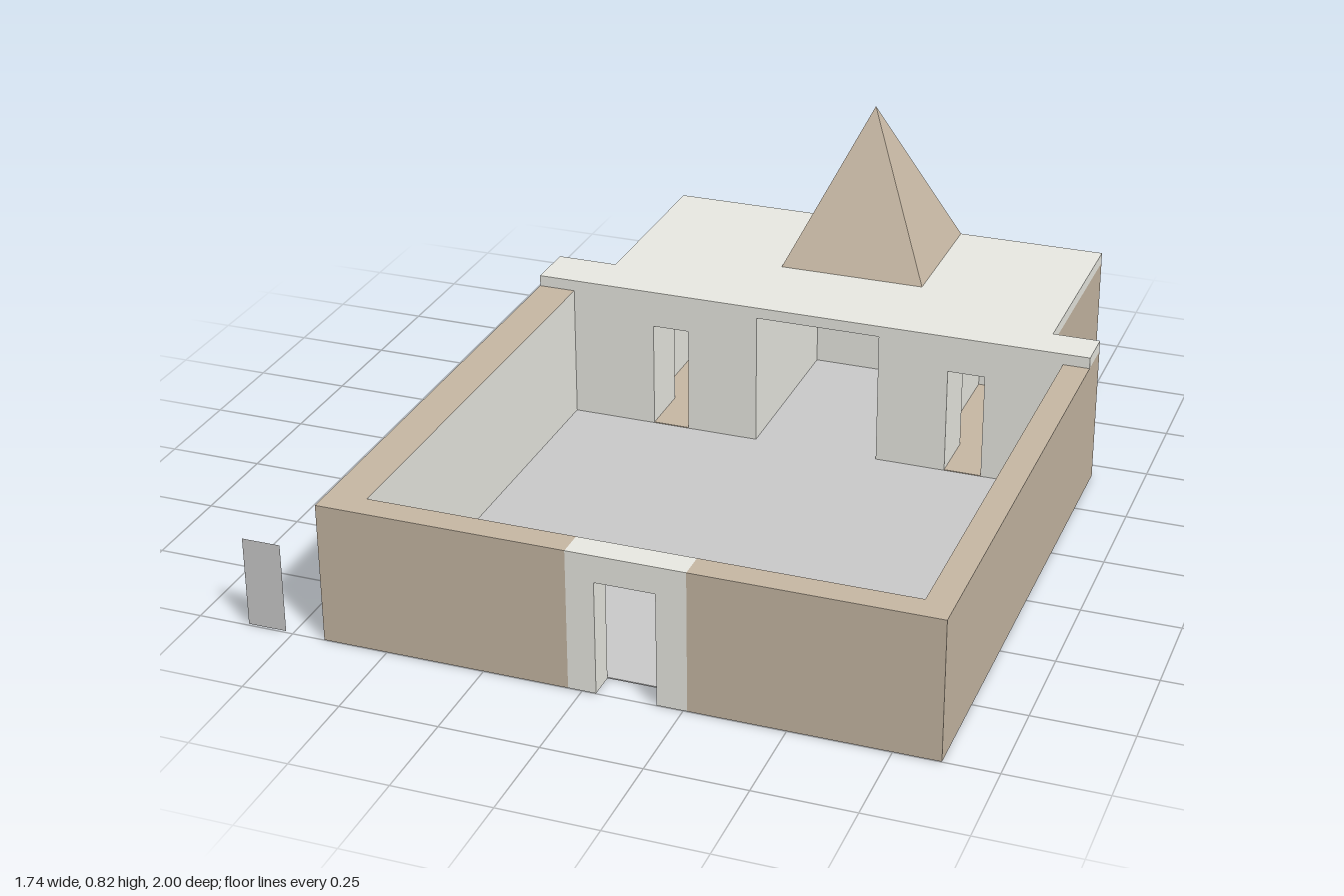
import * as THREE from 'three';

const mat = (color) => new THREE.MeshStandardMaterial({ color, flatShading: true });

export function createModel() {
  const root = new THREE.Group();
  const tan = mat(0xc8b9a5), cream = mat(0xebebe4), grey = mat(0xcccccc);
  const H = 0.365, DOOR = 0.295;

  const add = (name, geometry, material) => {
    const mesh = new THREE.Mesh(geometry, material);
    mesh.name = name;
    root.add(mesh);
    return mesh;
  };
  // Box given by its extents; creamFace is the index of the plastered side
  const box = (name, x0, x1, y0, y1, z0, z1, material, creamFace = -1) => {
    const g = new THREE.BoxGeometry(x1 - x0, y1 - y0, z1 - z0);
    g.translate((x0 + x1) / 2, (y0 + y1) / 2, (z0 + z1) / 2);
    const mats = creamFace < 0 ? material : Array.from({ length: 6 }, (_, i) => (i === creamFace ? cream : material));
    return add(name, g, mats);
  };
  // Ground plan of [x, z] corners raised from y0 to y1
  const plan = (name, pts, y0, y1, material) => {
    const shape = new THREE.Shape(pts.map(([x, z]) => new THREE.Vector2(x, -z)));
    const g = new THREE.ExtrudeGeometry(shape, { depth: y1 - y0, bevelEnabled: false });
    g.rotateX(-Math.PI / 2).translate(0, y0, 0);
    return add(name, g, material);
  };

  // Outline of the rear block, stepped in behind the courtyard
  const outline = (d) => [
    [-0.665 + d, -0.33], [-0.665 + d, -0.47 + d], [-0.5 + d, -0.47 + d], [-0.5 + d, -1 + d],
    [0.74 - d, -1 + d], [0.74 - d, -0.44 + d], [0.865 - d, -0.44 + d], [0.865 - d, -0.33],
  ];

  // Floor slab
  plan('floor', [[-0.665, 0.93], ...outline(0), [0.865, 0.93]], 0, 0.003, grey);

  // Courtyard walls, plastered on the inside
  box('rightCourtWall', -0.665, -0.565, 0, H, -0.33, 0.93, tan, 0);
  box('leftCourtWall', 0.795, 0.865, 0, H, -0.33, 0.93, tan, 1);
  box('frontWallRight', -0.665, -0.035, 0, H, 0.93, 1, tan, 5);
  box('frontWallLeft', 0.26, 0.865, 0, H, 0.93, 1, tan, 5);

  // Entrance portal
  box('portalJamb', -0.035, 0.035, 0, H, 0.93, 1, cream);
  box('portalJamb', 0.185, 0.26, 0, H, 0.93, 1, cream);
  box('portalLintel', 0.035, 0.185, DOOR, H, 0.93, 1, cream);

  // Outer shell of the rear block
  plan('rearShell', [...outline(0), ...outline(0.015).reverse()], 0, H, tan);

  // Plastered core: two side chambers with narrow doorways, open sanctuary between
  const back = -0.86, wallBack = -0.487;
  const chambers = [-0.285, 0.54];
  const chamber = (c) => [
    [c + 0.05, -0.33], [c + 0.05, wallBack], [c + 0.1, wallBack], [c + 0.1, back],
    [c - 0.1, back], [c - 0.1, wallBack], [c - 0.05, wallBack], [c - 0.05, -0.33],
  ];
  plan('rearRooms', [
    ...outline(0.015),
    ...chamber(chambers[1]),
    [0.3, -0.33], [0.3, back], [-0.04, back], [-0.04, -0.33],
    ...chamber(chambers[0]),
  ], 0, H, cream);
  for (const c of chambers) {
    box('doorLintel', c - 0.05, c + 0.05, DOOR, H, wallBack, -0.33, cream);
    plan('chamberFloor', chamber(c), -0.001, 0.005, tan);
  }

  // Roof slab
  plan('roof', outline(0), H, 0.395, cream);

  // Pyramid on the roof
  const p = new THREE.ConeGeometry(Math.SQRT1_2, 1, 4, 1).toNonIndexed();
  p.rotateY(Math.PI / 4).scale(0.4, 0.425, 0.39).translate(0.135, 0.395 + 0.2125, -0.805);
  p.computeVertexNormals();
  add('pyramid', p, tan);

  // Free-standing thin panel beside the entrance
  const panelMat = mat(0xcccccc);
  panelMat.side = THREE.DoubleSide;
  add('panel', new THREE.PlaneGeometry(0.1, 0.235).translate(-0.82, 0.1175, 0.995), panelMat);

  return root;
}
